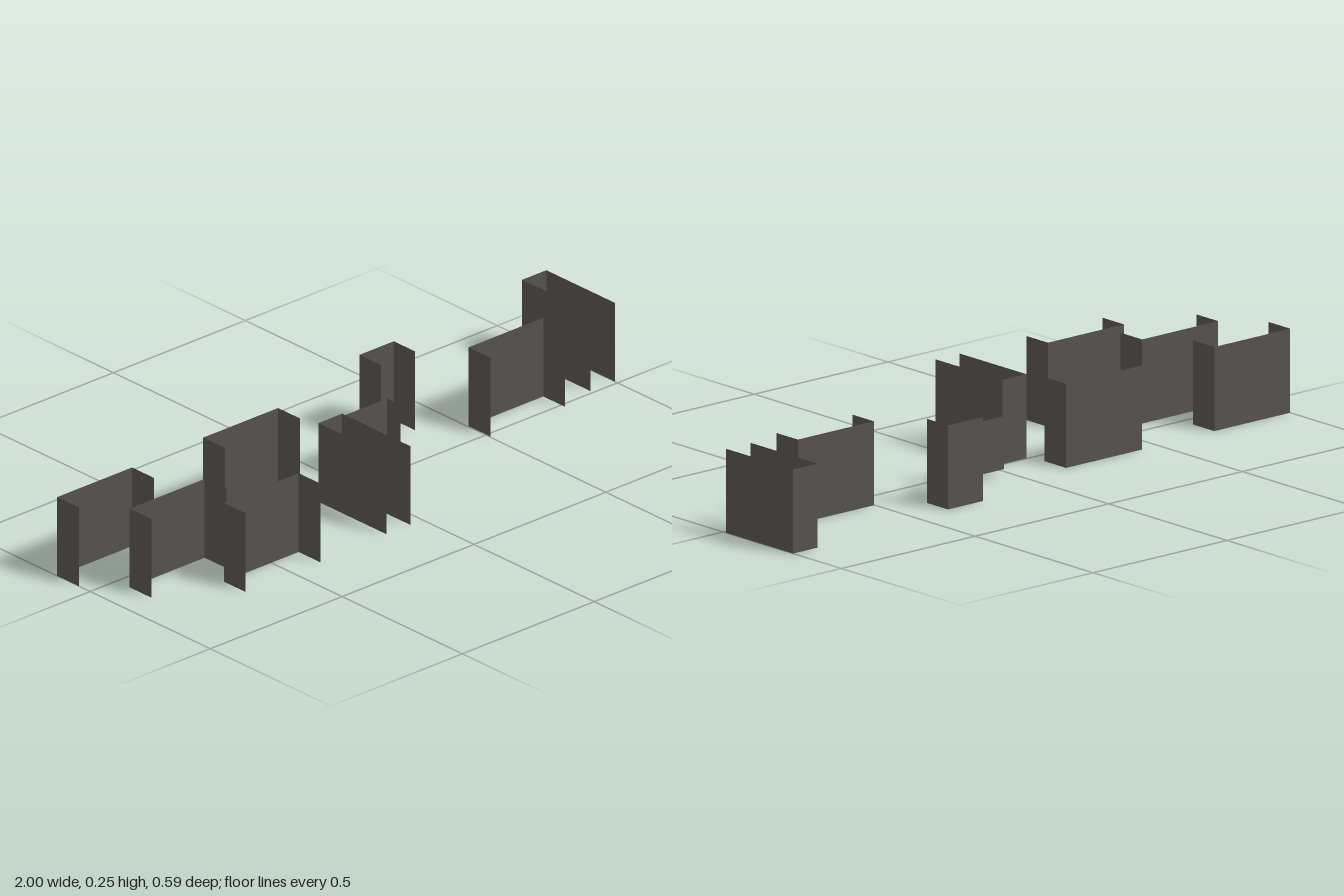
import * as THREE from 'three';

const darkGrey = new THREE.MeshStandardMaterial({ color: 0x54504e, side: THREE.DoubleSide });

// One thin upright sheet, turned about y
function sheet(name, width, height, x, y, z, turn) {
  const mesh = new THREE.Mesh(new THREE.PlaneGeometry(width, height), darkGrey);
  mesh.name = name;
  mesh.position.set(x, y, z);
  mesh.rotation.y = turn;
  return mesh;
}

// U-shaped screen: a back sheet and two side sheets, open to the front, top and bottom
function screen(name, x0, x1, z0, z1, y0 = 0, y1 = 0.245) {
  const group = new THREE.Group();
  group.name = name;
  const w = x1 - x0, d = z1 - z0, h = y1 - y0;
  group.add(sheet('backSheet', w, h, 0, 0, -d / 2, Math.PI));
  group.add(sheet('leftSheet', d, h, w / 2, 0, 0, Math.PI / 2));
  group.add(sheet('rightSheet', d, h, -w / 2, 0, 0, -Math.PI / 2));
  group.position.set((x0 + x1) / 2, (y0 + y1) / 2, (z0 + z1) / 2);
  return group;
}

export function createModel() {
  const model = new THREE.Group();
  model.name = 'screens';

  // Wide screens: right edge x and back z
  const wide = [[-1, -0.137], [-0.9, 0.055], [-0.68, 0.205], [-0.439, -0.145], [0.503, -0.075]];
  wide.forEach(([x, z], i) => model.add(screen(`wideScreen${i + 1}`, x, x + 0.284, z, z + 0.091)));

  // Deep, narrow screens
  model.add(screen('deepScreen1', -0.137, -0.047, 0.003, 0.287));
  model.add(screen('deepScreen2', 0.908, 1, -0.296, -0.011));

  // Narrow screen and the small raised one
  model.add(screen('narrowScreen', 0.245, 0.375, -0.245, -0.156));
  model.add(screen('smallScreen', 0.03, 0.21, -0.092, -0.036, 0.02, 0.175));

  return model;
}
